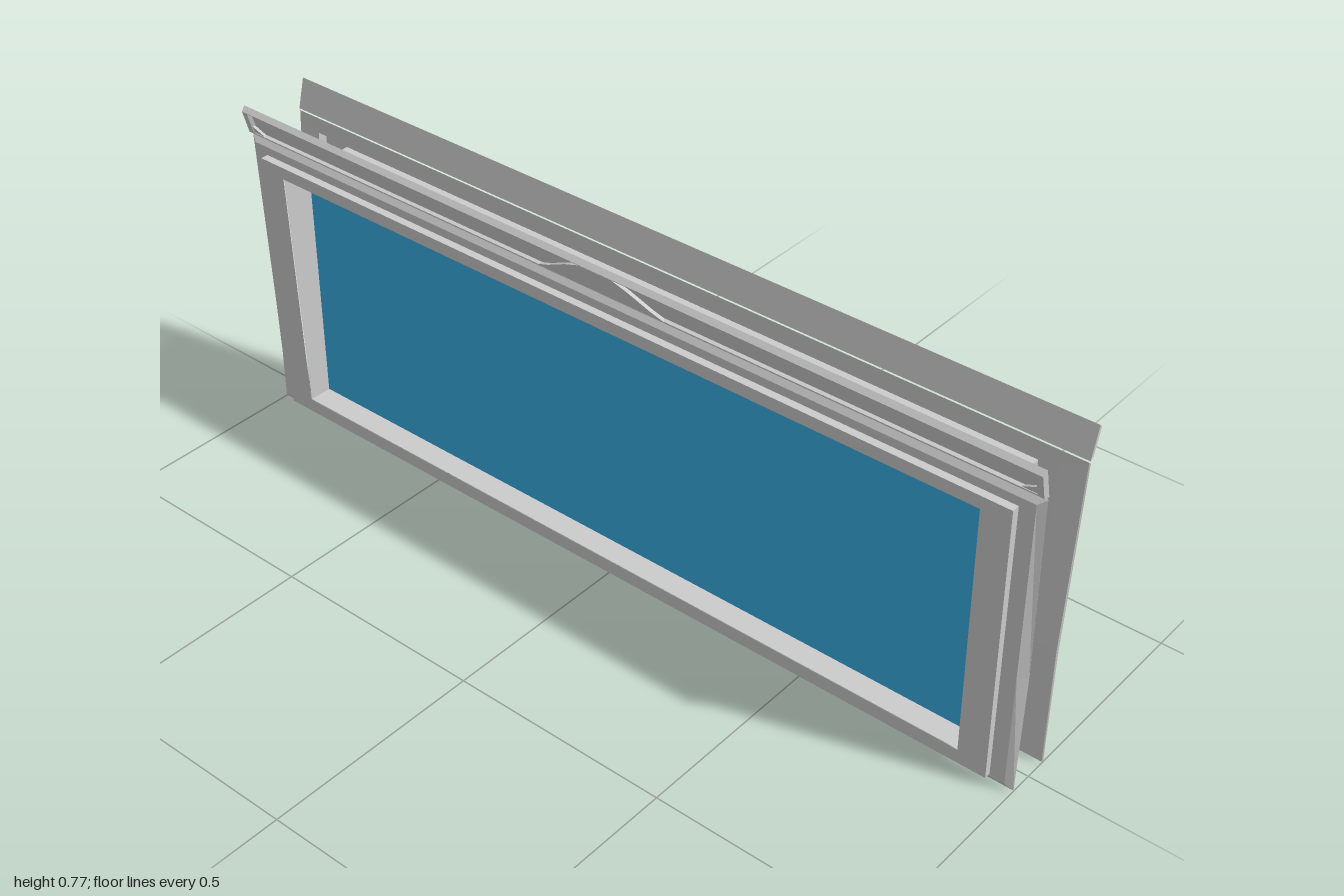
import * as THREE from 'three';

const grey = new THREE.MeshStandardMaterial({ color: 0xcccccc, side: THREE.DoubleSide, flatShading: true });
const blue = new THREE.MeshStandardMaterial({ color: 0x3aaee6 });

// Rectangular ring: half width, bottom, top, z at bottom, z at top, z at the lower middle
function ring([w, y0, y1, z0, z1, zm = z0 + (z1 - z0) * 0.4]) {
  const ym = y0 + (y1 - y0) * 0.4;
  return [[-w, y0, z0], [w, y0, z0], [w, ym, zm], [w, y1, z1], [-w, y1, z1], [-w, ym, zm]];
}

// Skin a series of rings, optionally closing the last one
function loft(name, sections, cap = false) {
  const rings = sections.map(ring), pos = [];
  const quad = (a, b, c, d) => pos.push(...a, ...b, ...c, ...a, ...c, ...d);
  for (let k = 0; k < rings.length - 1; k++) {
    for (let i = 0; i < 6; i++) {
      const j = (i + 1) % 6;
      quad(rings[k][i], rings[k][j], rings[k + 1][j], rings[k + 1][i]);
    }
  }
  if (cap) {
    const r = rings[rings.length - 1];
    quad(r[0], r[1], r[2], r[5]);
    quad(r[5], r[2], r[3], r[4]);
  }
  const g = new THREE.BufferGeometry();
  g.setAttribute('position', new THREE.Float32BufferAttribute(pos, 3));
  g.computeVertexNormals();
  const mesh = new THREE.Mesh(g, grey);
  mesh.name = name;
  return mesh;
}

// Raised centre ornament and small corner blocks lying on the sloped header
function headerBlock(name, outline, depth) {
  const shape = new THREE.Shape(outline.map(([x, y]) => new THREE.Vector2(x, y)));
  const g = new THREE.ExtrudeGeometry(shape, { depth, bevelEnabled: false });
  const p = g.attributes.position;
  for (let i = 0; i < p.count; i++) {
    p.setZ(i, p.getZ(i) + 0.071 + (p.getY(i) - 0.712) * 0.28);
  }
  g.computeVertexNormals();
  const mesh = new THREE.Mesh(g, grey);
  mesh.name = name;
  return mesh;
}

function trimSide(name) {
  const side = new THREE.Group();
  side.name = name;

  // Lining of the opening, from the middle out to the casing face
  side.add(loft('jamb', [
    [0.885, 0.055, 0.641, 0.074, 0.093],
    [0.885, 0.055, 0.639, 0, 0],
  ]));

  // Raised casing: outer wall and front face
  side.add(loft('casing', [
    [0.95, 0.022, 0.67, 0.052, 0.07],
    [0.95, 0.022, 0.67, 0.075, 0.095],
    [0.885, 0.055, 0.641, 0.076, 0.094],
  ]));

  // Bevelled flange behind the casing, slightly bowed at the back
  const back = [0.942, 0.024, 0.668, 0.05, 0.066, 0.046];
  side.add(loft('flange', [
    back,
    [0.998, 0.002, 0.704, 0.05, 0.067, 0.046],
    [1, 0.004, 0.702, 0.052, 0.069, 0.05],
    [0.984, 0.018, 0.69, 0.061, 0.078],
    [0.95, 0.023, 0.67, 0.06, 0.077],
    back,
  ]));

  // Header board leaning outward, with a shallow recessed face
  side.add(loft('header', [
    [1, 0.708, 0.776, 0.067, 0.085],
    [0.998, 0.711, 0.766, 0.08, 0.095],
    [0.984, 0.714, 0.764, 0.08, 0.094],
    [0.98, 0.716, 0.762, 0.072, 0.085],
  ], true));
  const headerBack = loft('headerBack', [[1, 0.708, 0.776, 0.067, 0.085]], true);
  side.add(headerBack);

  side.add(headerBlock('headerOrnament', [
    [-0.16, 0.714], [0.16, 0.714], [0.13, 0.725], [0.08, 0.75],
    [0.04, 0.765], [-0.04, 0.765], [-0.08, 0.75], [-0.13, 0.725],
  ], 0.009));
  for (const s of [-1, 1]) {
    const tri = [[0.985 * s, 0.714], [0.95 * s, 0.714], [0.985 * s, 0.732]];
    side.add(headerBlock('headerCorner', tri, 0.007));
  }
  return side;
}

export function createModel() {
  const model = new THREE.Group();
  model.name = 'window';

  // Glass slab in the middle of the wall
  const glass = new THREE.Mesh(new THREE.BoxGeometry(1.78, 0.588, 0.04), blue);
  glass.name = 'glass';
  glass.position.y = 0.349;
  model.add(glass);

  // The same trim on both faces
  const front = trimSide('frontTrim');
  const rear = trimSide('backTrim');
  rear.rotation.y = Math.PI;
  model.add(front, rear);
  return model;
}
